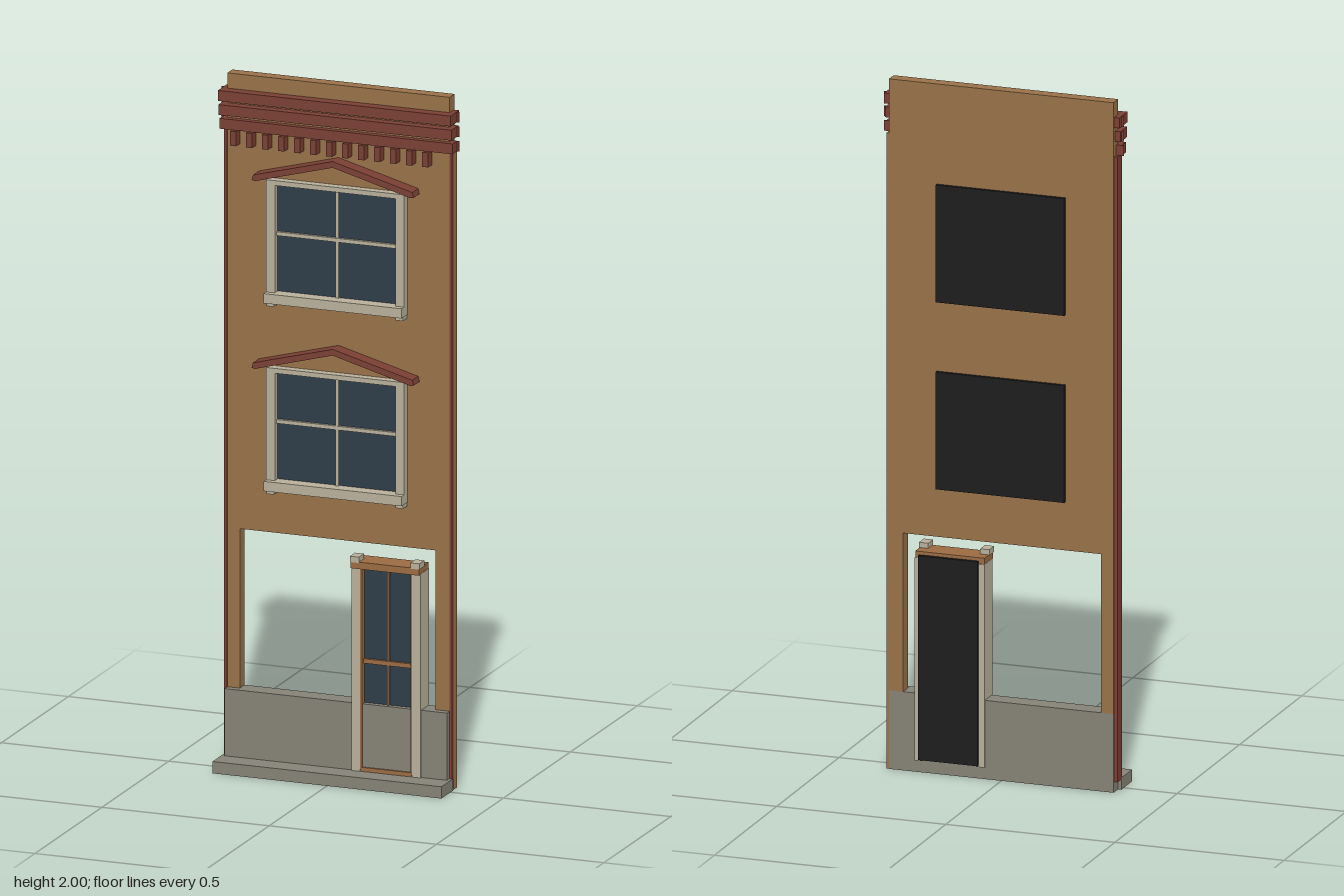
import * as THREE from 'three';

const mat = (name, color) => Object.assign(new THREE.MeshStandardMaterial({ color }), { name });

export function createModel() {
  const root = new THREE.Group();
  root.name = 'townhouseFacade';
  const brick = mat('brownBrick', 0x987149);
  const red = mat('redTrim', 0x7a3f33);
  const cream = mat('creamFrame', 0xb8b09a);
  const stone = mat('greyStone', 0x858276);
  const glass = mat('darkBlueGlass', 0x2e3c48);
  const black = mat('blackBacking', 0x1d1d1d);
  const oak = mat('doorWood', 0x9a6b42);

  // Box given by its limits on each axis
  const box = (parent, name, m, x0, x1, y0, y1, z0, z1) => {
    const mesh = new THREE.Mesh(new THREE.BoxGeometry(x1 - x0, y1 - y0, z1 - z0), m);
    mesh.position.set((x0 + x1) / 2, (y0 + y1) / 2, (z0 + z1) / 2);
    mesh.name = name;
    parent.add(mesh);
    return mesh;
  };
  // Outline extruded from z0 to z1
  const slab = (parent, name, m, pts, z0, z1) => {
    const shape = new THREE.Shape(pts.map(([x, y]) => new THREE.Vector2(x, y)));
    const mesh = new THREE.Mesh(
      new THREE.ExtrudeGeometry(shape, { depth: z1 - z0, bevelEnabled: false }), m);
    mesh.position.z = z0;
    mesh.name = name;
    parent.add(mesh);
    return mesh;
  };

  // Wall with the open shopfront below
  slab(root, 'wall', brick, [
    [-0.332, 0.228], [-0.295, 0.228], [-0.295, 0.688], [0.29, 0.688],
    [0.29, 0.228], [0.332, 0.228], [0.332, 2], [-0.332, 2],
  ], -0.055, -0.018);

  // Edge strips
  box(root, 'rightEdgeStrip', red, -0.342, -0.332, 0.03, 1.842, -0.05, -0.016);
  box(root, 'leftEdgeStrip', red, 0.332, 0.34, 0.03, 1.842, -0.026, -0.016);
  box(root, 'leftEdgeReturn', brick, 0.332, 0.34, 0, 1.842, -0.053, -0.026);

  // Stone base and step
  box(root, 'baseWall', stone, -0.332, 0.332, 0, 0.228, -0.054, 0.002);
  box(root, 'step', stone, -0.342, 0.342, 0, 0.034, -0.02, 0.068);

  // Cornice bands and dentils
  const cornice = new THREE.Group();
  cornice.name = 'cornice';
  root.add(cornice);
  [[1.926, 1.956, -0.05, 0.014], [1.884, 1.914, -0.043, 0.009], [1.842, 1.872, -0.034, 0]]
    .forEach(([y0, y1, z0, z1]) => {
      box(cornice, 'corniceBand', red, -0.348, 0.348, y0, y1, z0, z1);
      for (const s of [-1, 1]) {
        const x = s * 0.3515;
        box(cornice, 'bandEnd', red, x - 0.0035, x + 0.0035, y0, y1, -0.034, -0.032);
      }
    });
  for (let i = 0; i < 13; i++) {
    const x = -0.303 + i * 0.0478;
    box(cornice, 'dentil', red, x - 0.009, x + 0.009, 1.8, 1.842, -0.018, 0.012);
  }

  // Window; y is the bottom of its sill
  const addWindow = (y) => {
    const w = new THREE.Group();
    w.name = 'window';
    w.position.y = y;
    root.add(w);
    box(w, 'windowBack', black, -0.19, 0.19, 0.01, 0.35, -0.065, -0.055);
    box(w, 'windowGlass', glass, -0.182, 0.182, 0.025, 0.342, -0.018, -0.014);
    for (const s of [-1, 1]) {
      const x = s * 0.193;
      box(w, 'sideFrame', cream, x - 0.013, x + 0.013, 0.02, 0.352, -0.018, 0.008);
      box(w, 'sillFoot', cream, x - 0.011, x + 0.011, -0.012, 0.002, -0.018, 0.01);
    }
    box(w, 'topFrame', cream, -0.206, 0.206, 0.338, 0.352, -0.018, 0.008);
    box(w, 'sill', cream, -0.206, 0.206, 0, 0.028, -0.018, 0.026);
    box(w, 'verticalBar', cream, -0.005, 0.005, 0.025, 0.34, -0.014, -0.007);
    box(w, 'crossBar', cream, -0.182, 0.182, 0.19, 0.201, -0.014, -0.005);
    slab(w, 'pediment', red, [
      [-0.242, 0.352], [-0.232, 0.35], [0, 0.413], [0.232, 0.35],
      [0.242, 0.352], [0.238, 0.367], [0, 0.431], [-0.238, 0.367],
    ], -0.018, 0.026);
  };
  addWindow(1.36);
  addWindow(0.818);

  // Door
  const door = new THREE.Group();
  door.name = 'door';
  root.add(door);
  box(door, 'doorBack', black, 0.065, 0.24, 0.04, 0.632, -0.071, -0.06);
  box(door, 'doorCore', black, 0.076, 0.228, 0.228, 0.62, -0.06, -0.02);
  box(door, 'doorGlass', glass, 0.076, 0.228, 0.228, 0.62, -0.02, -0.014);
  for (const s of [-1, 1]) {
    const x = 0.152 + s * 0.0905;
    box(door, 'doorJamb', cream, x - 0.0125, x + 0.0125, 0.034, 0.622, -0.058, 0.008);
    box(door, 'jambCap', cream, x - 0.0135, x + 0.0135, 0.638, 0.655, -0.02, 0.018);
    const t = 0.152 + s * 0.0755;
    box(door, 'doorStile', oak, t - 0.0035, t + 0.0035, 0.04, 0.622, -0.018, 0.006);
  }
  box(door, 'doorHead', oak, 0.05, 0.254, 0.62, 0.64, -0.055, 0.016);
  box(door, 'doorRail', oak, 0.076, 0.228, 0.343, 0.356, -0.014, -0.006);
  box(door, 'doorBar', oak, 0.149, 0.155, 0.228, 0.62, -0.014, -0.008);
  box(door, 'threshold', oak, 0.076, 0.228, 0.034, 0.046, 0, 0.007);

  return root;
}
